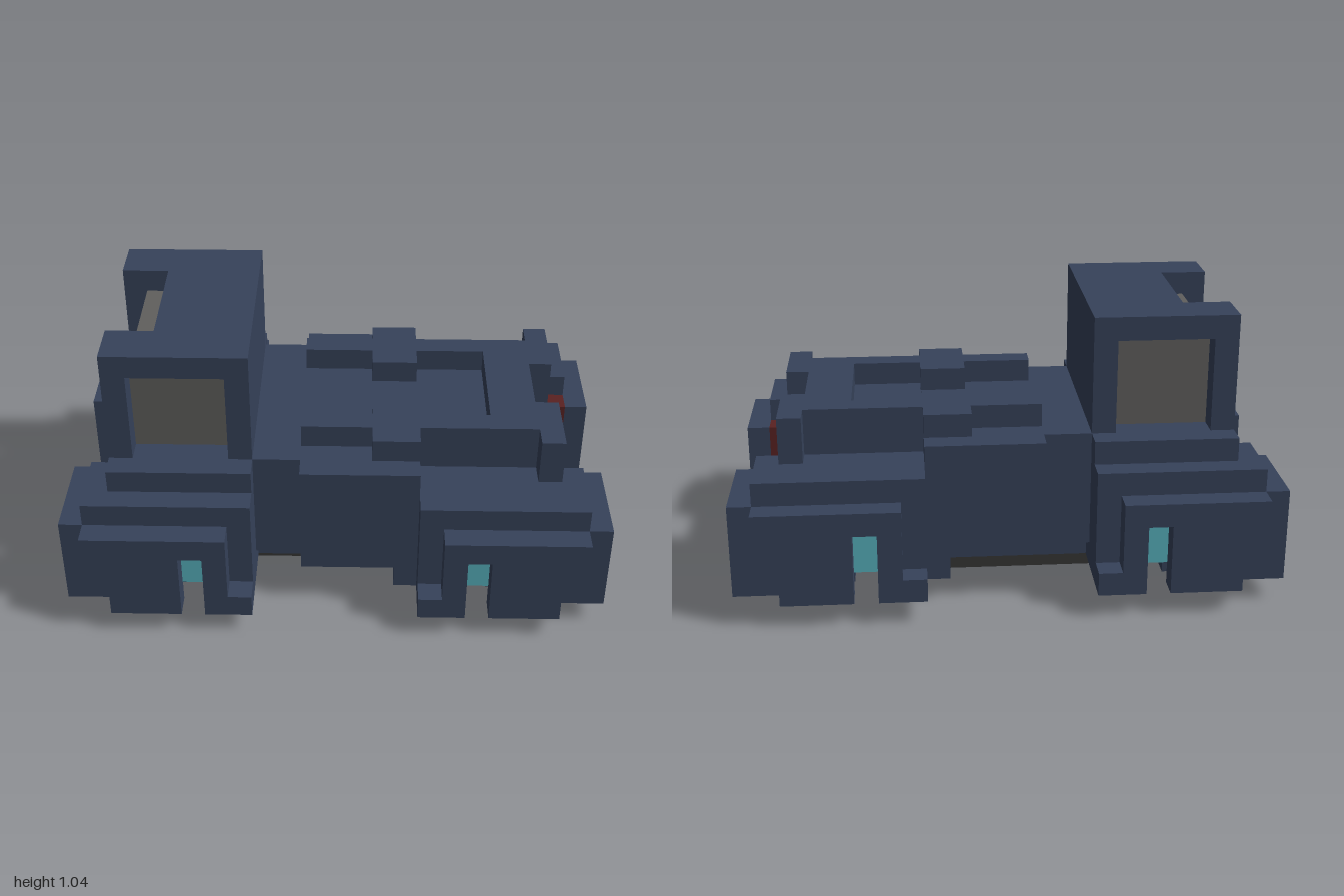
import * as THREE from 'three';

const U = 2 / 23; // one block
const T = 0.07;   // thin plate, in blocks

const mat = (name, color) => {
  const m = new THREE.MeshStandardMaterial({ color });
  m.name = name;
  return m;
};

export function createModel() {
  const navy = mat('navy', 0x36425a);
  const glass = mat('grey glass', 0x605f5d);
  const dark = mat('dark metal', 0x363635);
  const cyan = mat('cyan glow', 0x58b2be);
  const red = mat('tail red', 0xc44242);
  const darkRed = mat('dark red', 0x5a2222);
  const cream = mat('headlight cream', 0xd8d8a0);

  const model = new THREE.Group();
  model.name = 'hoverTruck';

  const part = (name) => {
    const g = new THREE.Group();
    g.name = name;
    model.add(g);
    return g;
  };

  // Box between block coordinates: x 0..23, y 0..12, z 0..15
  const box = (g, name, m, x0, x1, y0, y1, z0, z1) => {
    const geo = new THREE.BoxGeometry(Math.abs(x1 - x0) * U, (y1 - y0) * U, Math.abs(z1 - z0) * U);
    const mesh = new THREE.Mesh(geo, m);
    mesh.name = name;
    mesh.position.set(((x0 + x1) / 2 - 11.5) * U, ((y0 + y1) / 2) * U, ((z0 + z1) / 2 - 7.5) * U);
    g.add(mesh);
  };
  // The same box on both sides
  const pair = (g, name, m, x0, x1, y0, y1, z0, z1) => {
    box(g, name, m, x0, x1, y0, y1, z0, z1);
    box(g, name, m, x0, x1, y0, y1, 15 - z0, 15 - z1);
  };

  // Hull
  const hull = part('hull');
  box(hull, 'basePlate', navy, 3, 20, 1, 2, 4, 11);
  box(hull, 'noseCore', navy, 3, 8, 2, 7, 3, 12);
  pair(hull, 'noseCheek', navy, 2, 3, 1, 7, 9, 12);
  box(hull, 'noseLip', navy, 2, 3, 6, 7, 6, 9);
  box(hull, 'noseSill', navy, 2, 3, 1, 2, 6, 9);
  box(hull, 'grille', dark, 3 - T, 3, 2, 6, 6, 9);
  box(hull, 'waist', navy, 8, 10, 2, 7, 3, 12);
  box(hull, 'midBlock', navy, 10, 15, 2, 7, 2, 13);
  pair(hull, 'midFoot', navy, 14, 15, 1, 2, 11, 13);
  box(hull, 'rearCore', navy, 15, 20, 2, 7, 4, 11);
  pair(hull, 'tailLower', navy, 20, 21, 2, 6, 9, 11);
  pair(hull, 'tailUpper', navy, 20, 21, 6, 8, 9, 12);
  box(hull, 'tailSill', navy, 20, 21, 2, 4, 6, 9);

  // Rails around the cargo bed
  const bed = part('cargoBed');
  pair(bed, 'frontRail', navy, 10, 13, 7, 8, 10, 11);
  pair(bed, 'bracket', navy, 13, 15, 7, 8, 9, 12);
  pair(bed, 'rearRail', navy, 15, 18, 7, 8, 10, 11);
  box(bed, 'tailDeck', navy, 18, 20, 7, 8, 4, 11);

  // Cab with recessed glass and a notched roof
  const cab = part('cab');
  box(cab, 'roof', navy, 4, 8, 11, 12, 3, 12);
  pair(cab, 'roofProng', navy, 2, 4, 11, 12, 10, 12);
  box(cab, 'backWall', navy, 7, 8, 7, 11, 3, 12);
  pair(cab, 'frontPillar', navy, 2, 3, 7, 11, 10, 12);
  box(cab, 'glass', glass, 3, 7, 7, 11, 4, 11);

  // Corner pods, described once and mirrored
  const pod = (name, rear, right) => {
    const g = part(name);
    const add = (n, m, x0, x1, y0, y1, z0, z1) => {
      const [a, b] = rear ? [23 - x0, 23 - x1] : [x0, x1];
      const [c, d] = right ? [15 - z0, 15 - z1] : [z0, z1];
      box(g, n, m, a, b, y0, y1, c, d);
    };
    // Lamp frame and lamp
    add('lampFrameBottom', navy, 0, 1, 1, 2, 10, 14);
    add('lampFrameTop', navy, 0, 1, 4, 5, 10, 14);
    add('lampFrameInner', navy, 0, 1, 2, 4, 10, 11);
    add('lampFrameOuter', navy, 0, 1, 2, 4, 13, 14);
    add(rear ? 'tailLight' : 'headlight', rear ? red : cream, 1 - T, 1, 2, 4, 11, 13);
    // Core and stepped top
    add('core', navy, 1, 8, 2, 5, 11, 14);
    add('innerWall', navy, rear ? 2 : 1, 8, 2, 5, 10, 11);
    if (rear) add('innerLight', darkRed, 1, 2, 2, 5, 10, 11);
    add('topStep', navy, 1, 8, 5, 6, 11, 14);
    if (!rear) add('upperStep', navy, 2, 8, 6, 7, 11, 13);
    // Bottom layer around the thruster recess
    add('floorEnd', navy, 1, 4, 1, 2, 10, 14);
    add('floorInner', navy, 4, 7, 1, 2, 10, 12);
    add('floorCornerA', navy, 4, 5, 1, 2, 12, 13);
    add('floorCornerB', navy, 6, 7, 1, 2, 12, 13);
    add('floorBack', navy, 7, 8, 1, 2, 10, 14);
    // Outer plate with an open slot
    add('plateTop', navy, 1, 7, 4, 5, 14, 15);
    add('plateEnd', navy, 1, 5, 2, 4, 14, 15);
    add('plateEndFoot', navy, 2, 5, 1, 2, 14, 15);
    add('plateBack', navy, 6, 7, 2, 4, 14, 15);
    add('plateBackFoot', navy, 6, 8, 1, 2, 14, 15);
    // Thruster glow
    add('thrusterBar', cyan, 4, 7, 2 - T, 2, 13, 14);
    add('thrusterArm', cyan, 5, 6, 2 - T, 2, 12, 13);
    add('slotGlow', cyan, 5, 6, 2, 4, 14, 14 + T);
  };
  pod('frontLeftPod', false, false);
  pod('frontRightPod', false, true);
  pod('rearLeftPod', true, false);
  pod('rearRightPod', true, true);

  // Keel rails under the hull
  const keel = part('keel');
  box(keel, 'keelPlate', dark, 4, 20, 1 - T, 1, 6, 9);
  pair(keel, 'outerRail', dark, 5, 18, 0, 1, 9, 10);
  box(keel, 'centreRail', dark, 4, 20, 0, 1, 7, 8);
  pair(keel, 'rearCap', dark, 18, 19, 0, 1, 8, 9);
  pair(keel, 'frontCap', dark, 4, 5, 0, 1, 8, 9);

  return model;
}
